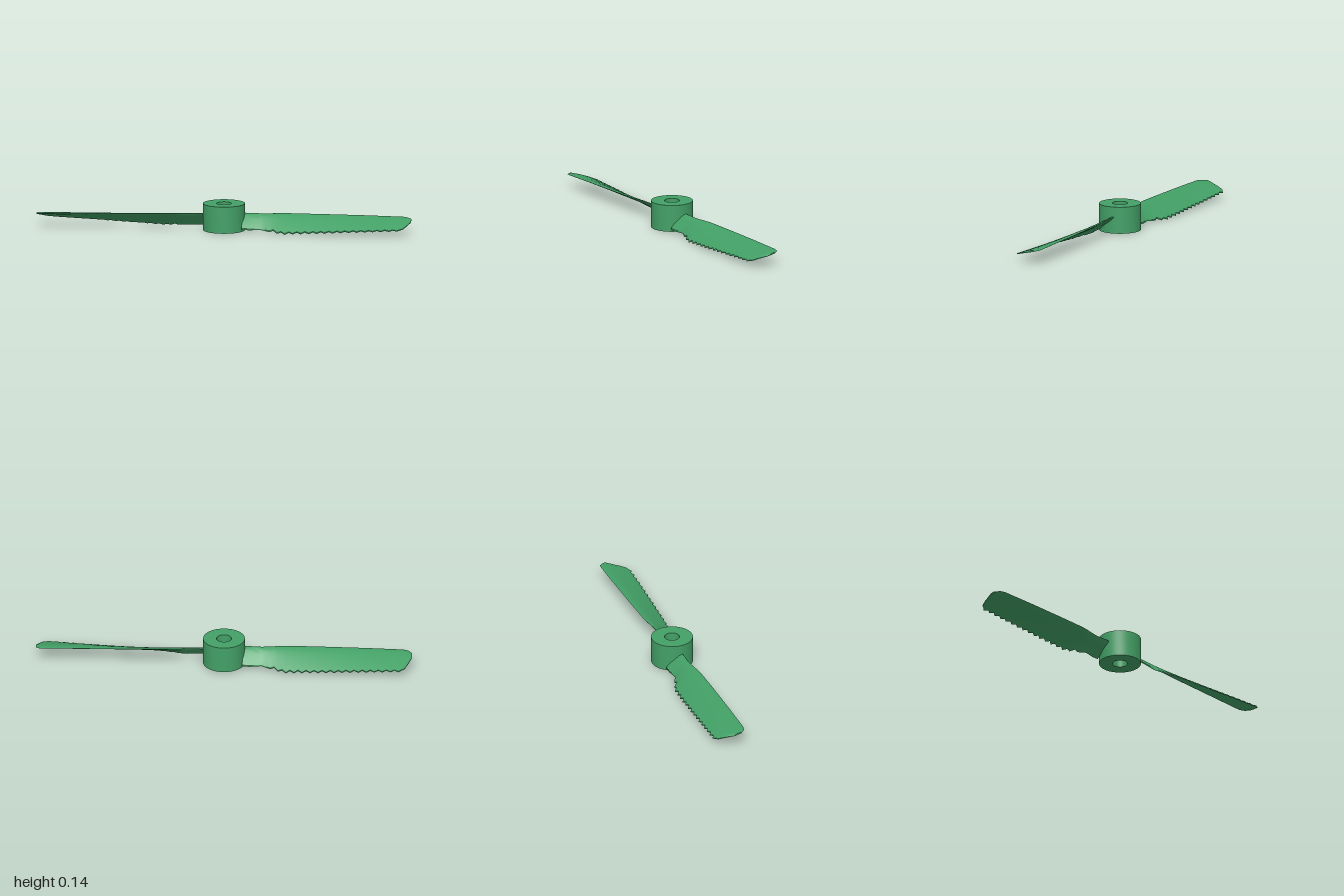
import * as THREE from 'three';
import { toCreasedNormals } from 'three/addons/utils/BufferGeometryUtils.js';

// Blade stations: x, leading z, leading y, trailing z, trailing y, half thickness
const STATIONS = [
  [0.10, -0.02, 0.092, 0.07, 0.022, 0.010],
  [0.14, -0.021, 0.092, 0.069, 0.02, 0.010],
  [0.20, -0.02, 0.09, 0.06, 0.021, 0.010],
  [0.25, -0.026, 0.091, 0.08, 0.014, 0.009],
  [0.32, -0.036, 0.092, 0.11, 0.006, 0.008],
  [0.50, -0.04, 0.09, 0.117, 0.015, 0.008],
  [0.75, -0.042, 0.087, 0.123, 0.028, 0.007],
  [0.955, -0.042, 0.083, 0.126, 0.038, 0.006],
  [0.98, -0.036, 0.08, 0.075, 0.054, 0.005],
  [1.00, -0.015, 0.075, 0.025, 0.066, 0.003],
];

function stationAt(x) {
  let i = 0;
  while (i < STATIONS.length - 2 && x > STATIONS[i + 1][0]) i++;
  const a = STATIONS[i], b = STATIONS[i + 1];
  const t = (x - a[0]) / (b[0] - a[0]);
  return a.map((v, k) => THREE.MathUtils.lerp(v, b[k], t));
}

// Closed airfoil loop: upper side leading to trailing, then back underneath
function airfoil(x, notch) {
  const [, zL, yL, zT, yT, half] = stationAt(x);
  const steps = 10, upper = [], lower = [];
  for (let i = 0; i <= steps; i++) {
    const u = (1 - Math.cos((Math.PI * i) / steps)) / 2;
    const chord = u * (1 - notch / (zT - zL));
    const z = zL + (zT - zL) * chord;
    const y = yL + (yT - yL) * chord + 0.02 * u * (1 - u);
    const t = half * (u < 0.25 ? Math.sqrt(u / 0.25) : 1 - 0.6 * (u - 0.25) / 0.75);
    upper.push([x, y + t, z]);
    if (i > 0) lower.unshift([x, y - t, z]);
  }
  return [...upper, ...lower];
}

function bladeGeometry() {
  const loops = [0.10, 0.12, 0.14, 0.17, 0.2, 0.225, 0.25].map((x) => airfoil(x, 0));
  // Serrated trailing edge: alternating valleys and peaks
  const teeth = 16, first = 0.27, pitch = (0.955 - first) / teeth;
  for (let i = 0; i < teeth; i++) {
    loops.push(airfoil(first + i * pitch, 0.013));
    loops.push(airfoil(first + (i + 0.5) * pitch, 0));
  }
  loops.push(airfoil(0.95, 0.013), airfoil(0.965, 0), airfoil(0.98, 0), airfoil(0.99, 0), airfoil(1, 0));

  const n = loops[0].length, index = [];
  for (let i = 0; i < loops.length - 1; i++) {
    for (let j = 0; j < n; j++) {
      const k = (j + 1) % n;
      const a = i * n + j, b = i * n + k, c = b + n, d = a + n;
      index.push(a, b, c, a, c, d);
    }
  }
  // Root and tip caps
  const tip = (loops.length - 1) * n;
  for (let j = 1; j < n - 1; j++) {
    index.push(0, j + 1, j, tip, tip + j, tip + j + 1);
  }
  const geometry = new THREE.BufferGeometry();
  geometry.setAttribute('position', new THREE.Float32BufferAttribute(loops.flat(2), 3));
  geometry.setIndex(index);
  return toCreasedNormals(geometry, 0.7);
}

export function createModel() {
  const green = new THREE.MeshStandardMaterial({ color: 0x43a066 });
  green.name = 'green';
  const model = new THREE.Group();
  model.name = 'propeller';

  // Hub with a bore through it
  const profile = [[0.04, 0.003], [0.111, 0.003], [0.111, 0.147], [0.04, 0.147], [0.04, 0.003]]
    .map(([r, y]) => new THREE.Vector2(r, y));
  const hub = new THREE.Mesh(toCreasedNormals(new THREE.LatheGeometry(profile, 64), 0.6), green);
  hub.name = 'hub';
  model.add(hub);

  // Two blades, half a turn apart
  const geometry = bladeGeometry();
  ['leftBlade', 'rightBlade'].forEach((name, i) => {
    const blade = new THREE.Mesh(geometry, green);
    blade.name = name;
    blade.rotation.y = i * Math.PI;
    model.add(blade);
  });
  return model;
}
